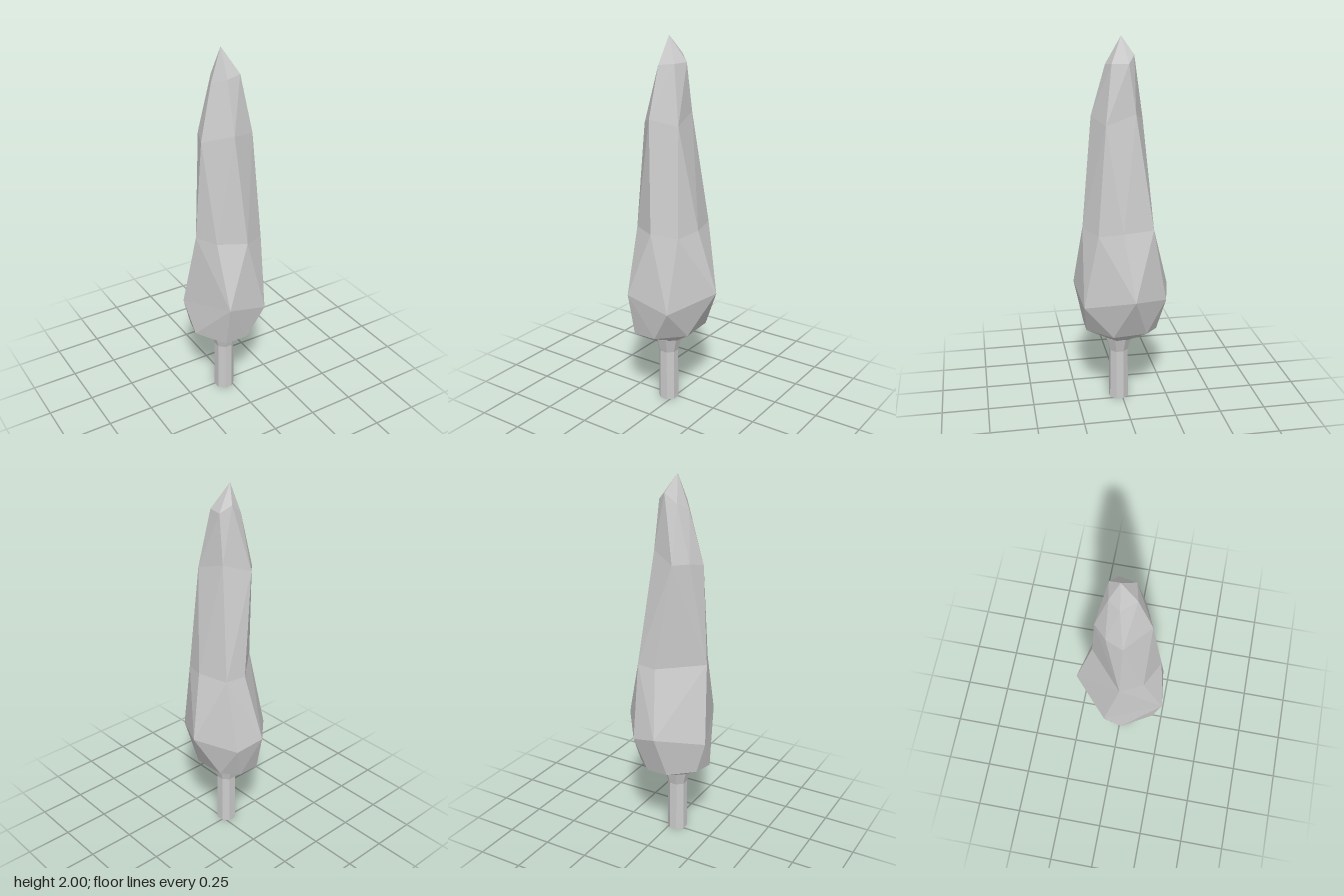
import * as THREE from 'three';

const material = () => new THREE.MeshStandardMaterial({ color: 0xcccccc, flatShading: true });

// Crown cross-sections, bottom to top. Each runs left, front, right, back as [x, y, z];
// neighbouring columns merge where two points coincide.
const rings = [
  [[-0.08, 0.35, 0.02], [-0.06, 0.36, 0.06], [-0.02, 0.36, 0.06], [0.01, 0.35, 0.03],
    [0.01, 0.35, -0.01], [-0.02, 0.35, -0.03], [-0.05, 0.35, -0.03], [-0.08, 0.35, -0.01]],
  [[-0.225, 0.43, 0.035], [-0.13, 0.43, 0.2], [0, 0.43, 0.2], [0.125, 0.43, 0.07],
    [0.125, 0.44, -0.11], [0.04, 0.43, -0.18], [-0.08, 0.43, -0.18], [-0.2, 0.43, -0.07]],
  [[-0.245, 0.6, -0.06], [-0.135, 0.67, 0.25], [0.097, 0.6, 0.222], [0.097, 0.6, 0.222],
    [0.24, 0.67, -0.03], [0.1, 0.62, -0.22], [-0.045, 0.66, -0.255], [-0.245, 0.6, -0.06]],
  [[-0.205, 1.02, 0.022], [-0.148, 1.02, 0.14], [-0.01, 1.02, 0.212], [0.113, 1.0, 0.145],
    [0.155, 1.02, 0.02], [0.112, 1.02, -0.147], [0, 1.02, -0.163], [-0.205, 1.02, 0.022]],
  [[-0.172, 1.55, 0.033], [-0.055, 1.6, 0.155], [-0.055, 1.6, 0.155], [0.083, 1.57, 0.098],
    [0.06, 1.62, -0.06], [0.06, 1.62, -0.06], [-0.075, 1.57, -0.12], [-0.14, 1.57, -0.055]],
  [[-0.1, 1.83, 0.008], [-0.05, 1.86, 0.08], [-0.05, 1.86, 0.08], [0.033, 1.87, 0.06],
    [0.05, 1.87, -0.025], [0, 1.91, -0.06], [-0.065, 1.86, -0.05], [-0.065, 1.86, -0.05]],
].map(ring => ring.map(p => new THREE.Vector3(...p)));

function createCrown() {
  const positions = [];
  const triangle = (a, b, c) => {
    if (a.equals(b) || b.equals(c) || c.equals(a)) return;
    for (const p of [a, b, c]) positions.push(p.x, p.y, p.z);
  };
  // Distance of an edge's middle from the trunk axis
  const reach = (a, b) => Math.hypot((a.x + b.x) / 2 + 0.03, (a.z + b.z) / 2);

  const base = new THREE.Vector3(-0.035, 0.35, 0.017);
  const tip = new THREE.Vector3(-0.04, 2, 0);
  const count = rings[0].length;
  for (let i = 0; i < count; i++) {
    const j = (i + 1) % count;
    triangle(base, rings[0][j], rings[0][i]);
    for (let k = 0; k + 1 < rings.length; k++) {
      const a = rings[k][i], b = rings[k][j], c = rings[k + 1][j], d = rings[k + 1][i];
      // Split each facet along its outer diagonal
      if (reach(a, c) > reach(b, d)) {
        triangle(a, b, c);
        triangle(a, c, d);
      } else {
        triangle(a, b, d);
        triangle(b, c, d);
      }
    }
    triangle(rings.at(-1)[i], rings.at(-1)[j], tip);
  }
  const geometry = new THREE.BufferGeometry();
  geometry.setAttribute('position', new THREE.Float32BufferAttribute(positions, 3));
  geometry.computeVertexNormals();
  const crown = new THREE.Mesh(geometry, material());
  crown.name = 'crown';
  return crown;
}

// Straight eight-sided trunk that flares where it meets the crown
function createTrunk() {
  const profile = [[0, 0], [0.055, 0], [0.053, 0.29], [0.075, 0.37], [0, 0.39]];
  const geometry = new THREE.LatheGeometry(profile.map(p => new THREE.Vector2(...p)), 8, Math.PI / 8);
  const trunk = new THREE.Mesh(geometry, material());
  trunk.name = 'trunk';
  trunk.position.set(-0.035, 0, 0.017);
  return trunk;
}

export function createModel() {
  const tree = new THREE.Group();
  tree.name = 'tree';
  tree.add(createTrunk(), createCrown());
  return tree;
}
